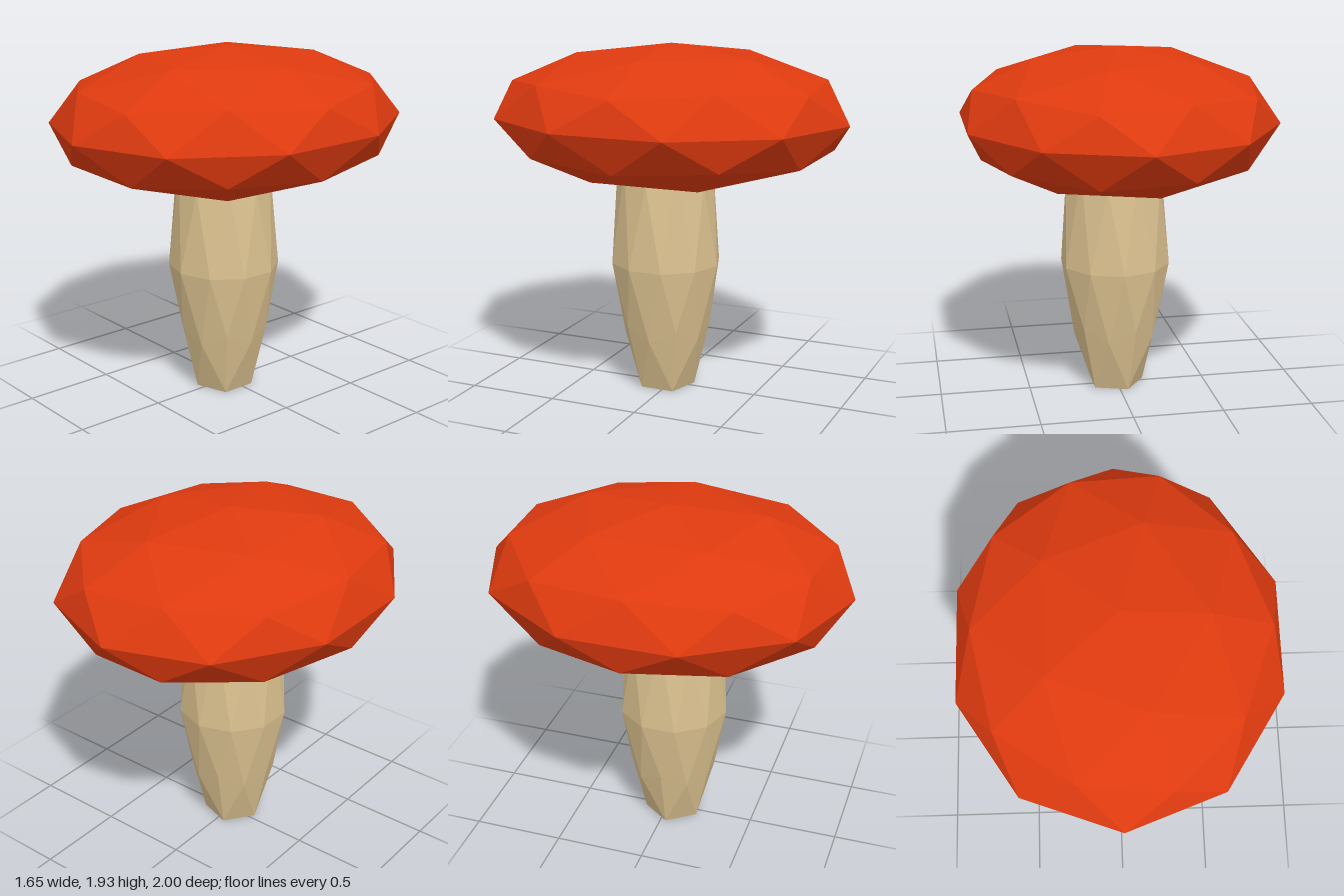
import * as THREE from 'three';

const red = new THREE.MeshStandardMaterial({ color: 0xde3a0f, flatShading: true });
red.name = 'capRed';
const cream = new THREE.MeshStandardMaterial({ color: 0xdcc290, flatShading: true });
cream.name = 'stemCream';

// 80-sided ball with a corner at each pole and an upper corner towards +x
function facetedBall() {
  const golden = (1 + Math.sqrt(5)) / 2;
  return new THREE.IcosahedronGeometry(1, 1)
    .rotateX(-Math.atan(golden))
    .rotateY(Math.PI / 2);
}

// Wide, flattened cap
function makeCap() {
  const geometry = facetedBall().scale(0.87, 0.39, 1).translate(0, 1.54, 0);
  geometry.computeVertexNormals();
  const cap = new THREE.Mesh(geometry, red);
  cap.name = 'cap';
  return cap;
}

// Stem: a stretched ball, slimmer below the middle and cut flat at the ground
function makeStem() {
  const geometry = facetedBall();
  const p = geometry.attributes.position;
  for (let i = 0; i < p.count; i++) {
    const h = p.getY(i);
    const isFoot = h < -0.7;
    const slim = h < -0.2 && !isFoot ? 0.9 : 1;
    const y = isFoot ? 0 : 0.72 + h * (h > 0 ? 1.05 : 0.79);
    p.setXYZ(i, 0.005 + p.getX(i) * 0.305 * slim, y, 0.03 + p.getZ(i) * 0.305 * slim);
  }
  geometry.computeVertexNormals();
  const stem = new THREE.Mesh(geometry, cream);
  stem.name = 'stem';
  return stem;
}

export function createModel() {
  const mushroom = new THREE.Group();
  mushroom.name = 'mushroom';
  mushroom.add(makeCap(), makeStem());
  return mushroom;
}
